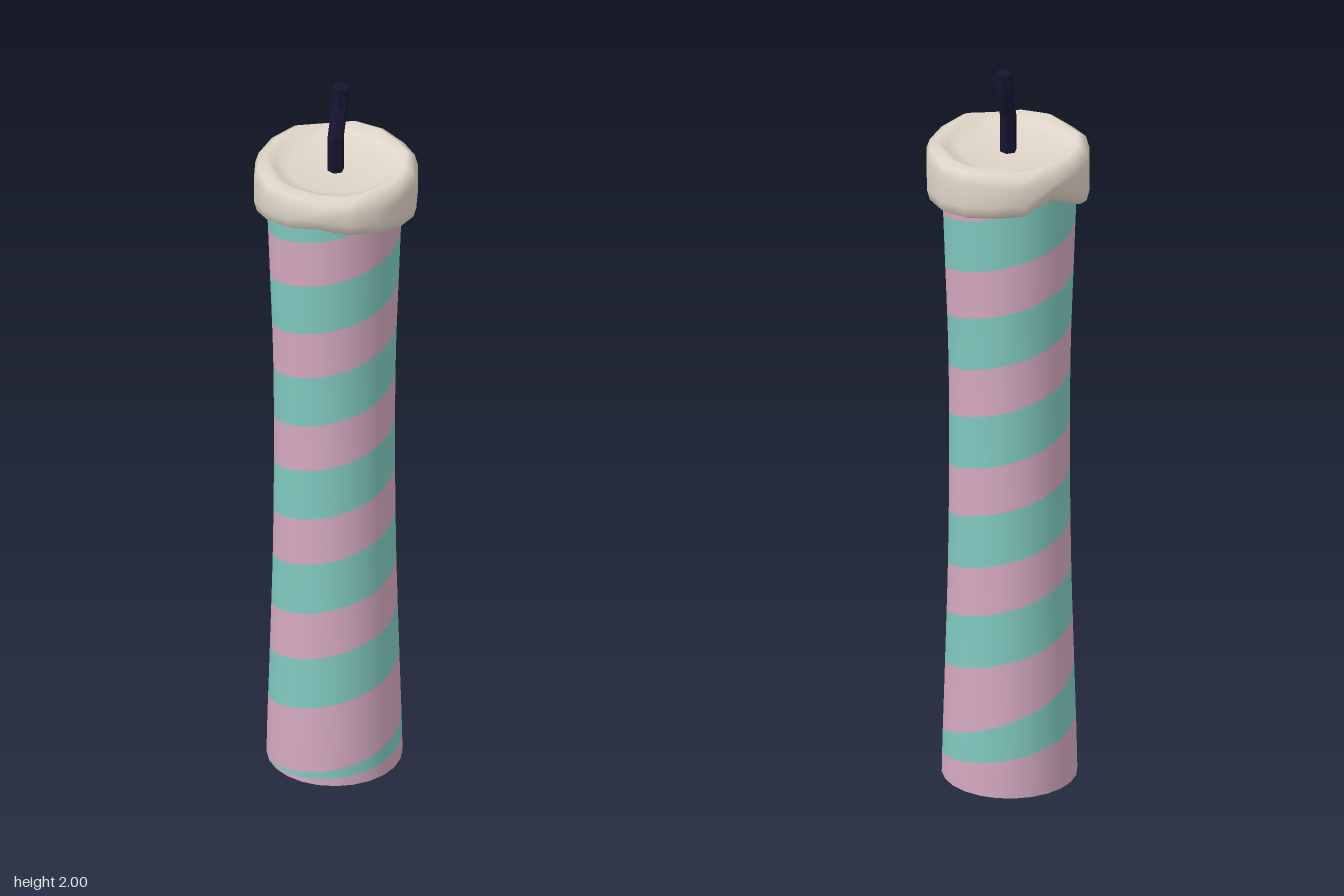
import * as THREE from 'three';
import { mergeVertices } from 'three/addons/utils/BufferGeometryUtils.js';

const TAU = Math.PI * 2;
const BODY_TOP = 1.75;

// Surface grid: at(i, j) gives [x, y, z]; i runs counterclockwise, j runs upward.
function grid(nu, nv, at) {
  const pos = [], idx = [];
  for (let i = 0; i <= nu; i++)
    for (let j = 0; j <= nv; j++) pos.push(...at(i, j));
  for (let i = 0; i < nu; i++)
    for (let j = 0; j < nv; j++) {
      const a = i * (nv + 1) + j, b = a + nv + 1;
      idx.push(a, b, b + 1, a, b + 1, a + 1);
    }
  const g = new THREE.BufferGeometry();
  g.setAttribute('position', new THREE.Float32BufferAttribute(pos, 3));
  g.setIndex(idx);
  return g;
}

// Angle measured from -x, through the front, towards +x.
const polar = (turn, r, y) => [-Math.cos(turn * TAU) * r, y, Math.sin(turn * TAU) * r];

// Waisted body radius
const waist = new THREE.SplineCurve([
  [0, 0.175], [0.3, 0.167], [0.6, 0.159], [0.9, 0.156], [1.2, 0.158], [1.5, 0.168], [1.8, 0.178],
].map(([y, r]) => new THREE.Vector2(y, r)));
const radius = (y) => waist.getPoint(y / 1.8).y;

// Heights of the stripe edges after t turns; the first turn tapers to a point.
const lower = (t) => (t <= 0 ? 0 : t < 1 ? 0.16 * t ** 1.6 : 0.16 + 0.283 * (t - 1));
const upper = (t) => (t <= 0 ? 0 : t < 1 ? 0.307 * t ** 1.5 : 0.307 + 0.283 * (t - 1));

// One helical stripe wound around the body
function stripe(name, color, start, bottom, top) {
  const perTurn = 24, rows = 4;
  const g = grid(perTurn * (7 - start), rows, (i, j) => {
    const t = start + i / perTurn;
    const y = Math.min(BODY_TOP, THREE.MathUtils.lerp(bottom(t), top(t), j / rows));
    return polar(t, radius(y), y);
  });
  // Normals from the body's profile, so the stripes join smoothly
  const p = g.attributes.position, normals = [], n = new THREE.Vector3();
  for (let i = 0; i < p.count; i++) {
    const y = p.getY(i), r = radius(y);
    const slope = (radius(y + 0.01) - radius(Math.max(0, y - 0.01))) / 0.02;
    n.set(p.getX(i) / r, -slope, p.getZ(i) / r).normalize();
    normals.push(n.x, n.y, n.z);
  }
  g.setAttribute('normal', new THREE.Float32BufferAttribute(normals, 3));
  const mesh = new THREE.Mesh(g, new THREE.MeshStandardMaterial({ color, side: THREE.DoubleSide }));
  mesh.name = name;
  return mesh;
}

// Melted wax cap: dished top, rounded rim, wavy dripping hem
function waxCap() {
  const hem = [1.63, 1.645, 1.665, 1.68, 1.695, 1.68, 1.67, 1.655,
    1.64, 1.635, 1.64, 1.65, 1.66, 1.665, 1.70, 1.665];
  const n = hem.length;
  const g = grid(n, 9, (i, j) => {
    const k = i % n, b = hem[k];
    const rim = 1.795 + 0.006 * Math.sin(k * 2.3);
    const [r, y] = [
      [0.165, b + 0.03], [0.188, b], [0.206, b + 0.012], [0.213, b + 0.04], [0.214, 1.755],
      [0.205, rim - 0.012], [0.184, rim], [0.158, 1.782], [0.125, 1.768], [0, 1.765],
    ][j];
    return polar(k / n, r, y);
  });
  const cap = mergeVertices(g, 1e-5);
  cap.computeVertexNormals();
  const mesh = new THREE.Mesh(cap, new THREE.MeshStandardMaterial({ color: 0xe0d5c8, side: THREE.DoubleSide }));
  mesh.name = 'waxCap';
  return mesh;
}

// Bent six-sided wick
function wick() {
  const path = [[0, 1.75, 0.003], [0, 1.865, 0.003], [0.004, 1.945, -0.025], [0.007, 2, -0.028]];
  const g = new THREE.CylinderGeometry(0.022, 0.022, 1, 6, 3);
  const p = g.attributes.position;
  for (let i = 0; i < p.count; i++) {
    const [x, y, z] = path[Math.round((p.getY(i) + 0.5) * 3)];
    p.setXYZ(i, p.getX(i) + x, y, p.getZ(i) + z);
  }
  g.computeVertexNormals();
  const mesh = new THREE.Mesh(g, new THREE.MeshStandardMaterial({ color: 0x15152f, flatShading: true }));
  mesh.name = 'wick';
  return mesh;
}

export function createModel() {
  const candle = new THREE.Group();
  candle.name = 'candle';

  const body = new THREE.Group();
  body.name = 'body';
  body.add(
    stripe('tealStripe', 0x80c8bf, 0, lower, upper),
    stripe('pinkStripe', 0xd4a9bf, -1, upper, (t) => lower(t + 1)),
  );
  body.position.x = -0.004;

  candle.add(body, waxCap(), wick());
  return candle;
}
